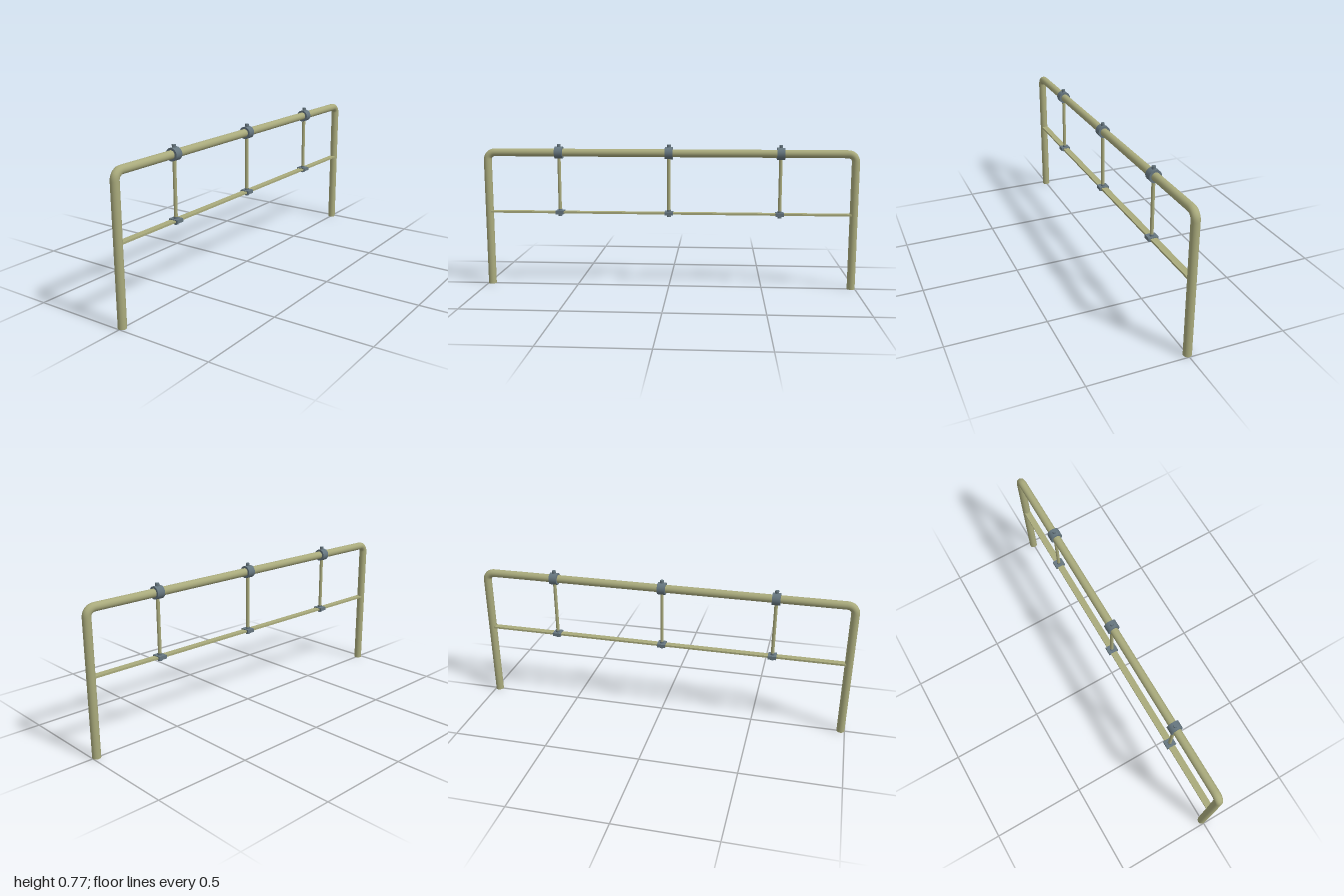
import * as THREE from 'three';

const olive = new THREE.MeshStandardMaterial({ color: 0xa9aa7c });
const steel = new THREE.MeshStandardMaterial({ color: 0x66767f });

function add(parent, name, geometry, material, y = 0, z = 0) {
  const mesh = new THREE.Mesh(geometry, material);
  mesh.name = name;
  mesh.position.set(0, y, z);
  parent.add(mesh);
  return mesh;
}

export function createModel() {
  const model = new THREE.Group();
  model.name = 'hoopRailing';

  const r = 0.021, legZ = 0.979, railY = 0.724, bend = 0.04, barY = 0.402;

  // Bent tube: two legs joined by the top rail
  const v = (y, z) => new THREE.Vector3(0, y, z);
  const points = [v(0, legZ)];
  for (let i = 0; i <= 8; i++) {
    const a = (i / 8) * Math.PI / 2;
    points.push(v(railY - bend + bend * Math.sin(a), legZ - bend + bend * Math.cos(a)));
  }
  points.push(...points.slice().reverse().map(p => v(p.y, -p.z)));
  const path = new THREE.CurvePath();
  for (let i = 1; i < points.length; i++) path.add(new THREE.LineCurve3(points[i - 1], points[i]));
  add(model, 'tubeFrame', new THREE.TubeGeometry(path, 400, r, 24), olive);

  // Closed feet
  for (const s of [1, -1]) {
    const foot = add(model, 'footCap', new THREE.CircleGeometry(r, 24), olive, 0, s * legZ);
    foot.rotation.x = Math.PI / 2;
  }

  // Flat lower bar between the legs
  add(model, 'lowerBar', new THREE.BoxGeometry(0.034, 0.01, legZ * 2), olive, barY);

  // Hangers: collar on the rail, rod, and clamp on the lower bar
  for (const z of [-0.59, 0, 0.59]) {
    const hanger = new THREE.Group();
    hanger.name = 'hanger';
    hanger.position.z = z;
    model.add(hanger);

    const collar = add(hanger, 'collar', new THREE.CylinderGeometry(0.032, 0.032, 0.042, 24), steel, railY);
    collar.rotation.x = Math.PI / 2;
    add(hanger, 'rod', new THREE.CylinderGeometry(0.009, 0.009, railY - barY, 12), olive, (railY + barY) / 2);
    add(hanger, 'topBolt', new THREE.CylinderGeometry(0.01, 0.01, 0.05, 12), steel, 0.744);
    add(hanger, 'clampPlate', new THREE.BoxGeometry(0.052, 0.018, 0.044), steel, barY);
    add(hanger, 'bottomNut', new THREE.CylinderGeometry(0.011, 0.011, 0.038, 12), steel, barY - 0.001);
  }
  return model;
}
